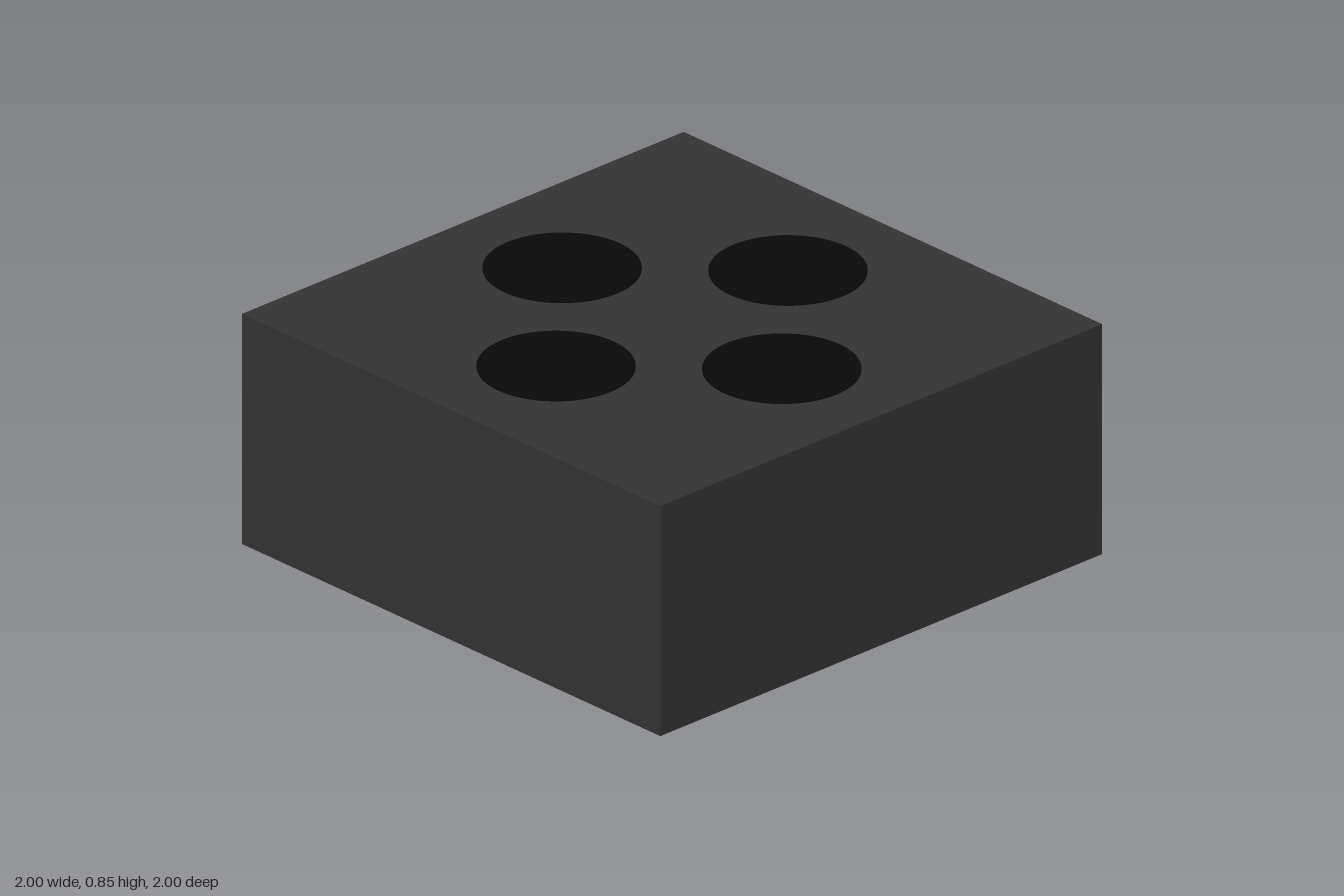
import * as THREE from 'three';

export function createModel() {
  const group = new THREE.Group();
  const height = 0.84, discThickness = 0.005;
  const bodyMaterial = new THREE.MeshStandardMaterial({ color: 0x333333 });
  const discMaterial = new THREE.MeshStandardMaterial({ color: 0x080808 });

  // Square block
  const body = new THREE.Mesh(new THREE.BoxGeometry(2, height, 2), bodyMaterial);
  body.name = 'body';
  body.position.y = height / 2;
  group.add(body);

  // Four thin dark discs in a diamond on the top face
  const discGeometry = new THREE.CylinderGeometry(0.262, 0.262, discThickness, 64);
  const places = { left: [1, 0], right: [-1, 0], front: [0, 1], back: [0, -1] };
  for (const [side, [x, z]] of Object.entries(places)) {
    const disc = new THREE.Mesh(discGeometry, discMaterial);
    disc.name = side + 'Disc';
    disc.position.set(x * 0.525, height + discThickness / 2, z * 0.525);
    group.add(disc);
  }
  return group;
}
